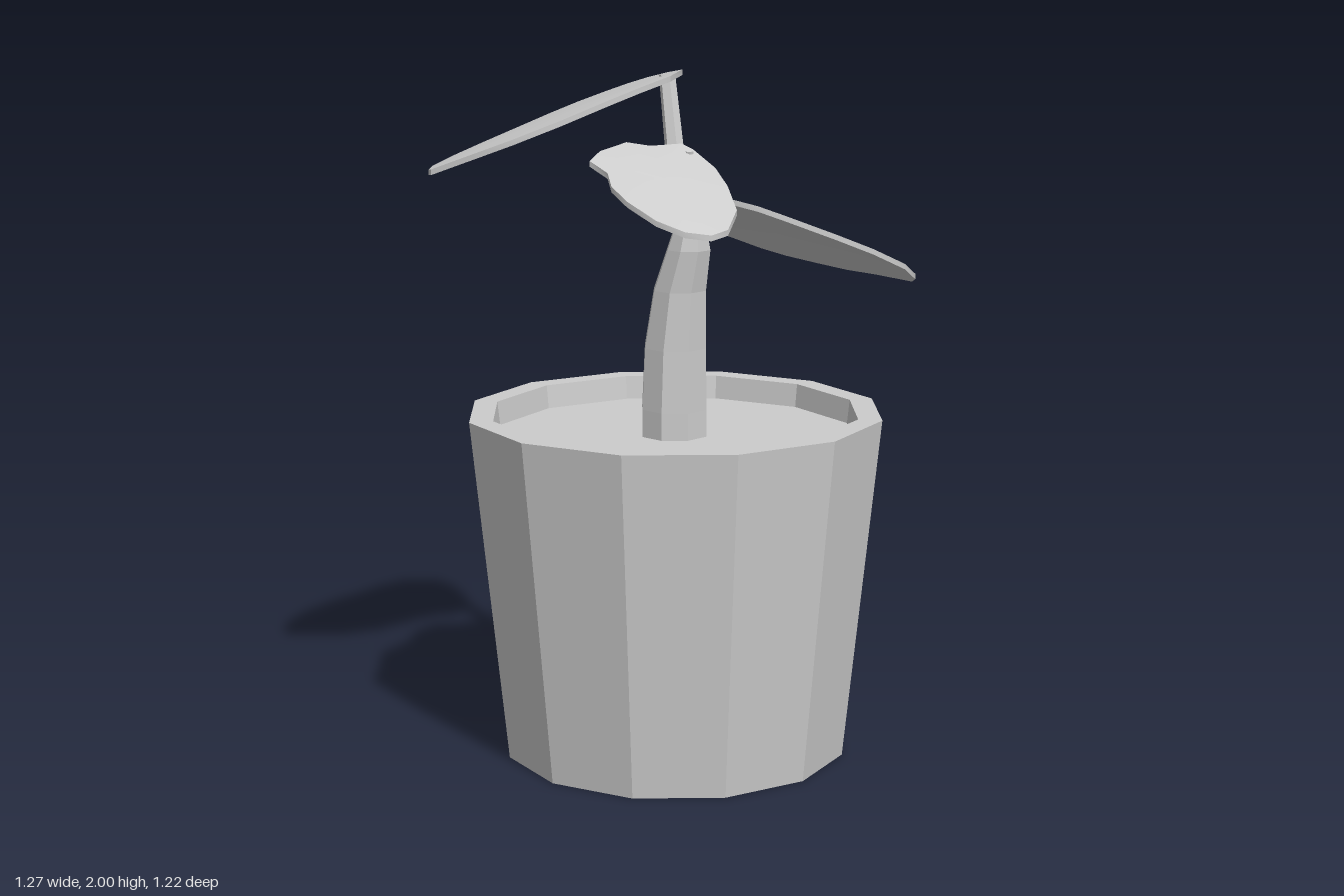
import * as THREE from 'three';
import { toCreasedNormals } from 'three/addons/utils/BufferGeometryUtils.js';

const flat = new THREE.MeshStandardMaterial({ color: 0xcccccc, flatShading: true });
const smooth = new THREE.MeshStandardMaterial({ color: 0xcccccc });

function indexed(positions, index) {
  const g = new THREE.BufferGeometry();
  g.setAttribute('position', new THREE.Float32BufferAttribute(positions, 3));
  g.setIndex(index);
  g.computeVertexNormals();
  return g;
}

// Tapered limb through horizontal rings [x, y, z, radius]
function limb(rings, sides) {
  const pos = [], idx = [];
  rings.forEach(([x, y, z, r], k) => {
    for (let i = 0; i < sides; i++) {
      const a = (i + 0.5) / sides * Math.PI * 2;
      pos.push(x + r * Math.sin(a), y, z + r * Math.cos(a));
      if (k === 0) continue;
      const j = (i + 1) % sides, lo = (k - 1) * sides, hi = k * sides;
      idx.push(lo + i, lo + j, hi + j, lo + i, hi + j, hi + i);
    }
  });
  return indexed(pos, idx);
}

// Thin leaf: outline of [x, z], height(x, z) gives its tilt, bow arches the middle
function leaf(outline, height, bow, thick = 0.016) {
  const area = THREE.ShapeUtils.area(outline.map(([x, z]) => new THREE.Vector2(x, -z)));
  const pts = area > 0 ? outline : [...outline].reverse();
  const n = pts.length, levels = [0.35, 0.7, 1];
  const cx = pts.reduce((s, p) => s + p[0], 0) / n;
  const cz = pts.reduce((s, p) => s + p[1], 0) / n;
  const pos = [], idx = [];
  const layer = 1 + n * levels.length;
  for (const side of [0.5, -0.5]) {
    const put = (x, z, t) =>
      pos.push(x, height(x, z) + bow * (1 - t * t) + side * thick, z);
    put(cx, cz, 0);
    for (const t of levels) for (const [x, z] of pts) put(cx + (x - cx) * t, cz + (z - cz) * t, t);
  }
  const both = (a, b, c) => idx.push(a, b, c, layer + a, layer + c, layer + b);
  for (let i = 0; i < n; i++) {
    const j = (i + 1) % n;
    both(0, 1 + i, 1 + j);
    for (let k = 0; k < levels.length - 1; k++) {
      const a = 1 + k * n, b = a + n;
      both(a + i, b + i, b + j);
      both(a + i, b + j, a + j);
    }
    // rim between the upper and lower faces
    const e = 1 + (levels.length - 1) * n;
    idx.push(e + i, layer + e + i, layer + e + j, e + i, layer + e + j, e + j);
  }
  return toCreasedNormals(indexed(pos, idx), 0.7);
}

export function createModel() {
  const group = new THREE.Group();
  const add = (name, geometry, material) => {
    const mesh = new THREE.Mesh(geometry, material);
    mesh.name = name;
    group.add(mesh);
    return mesh;
  };

  // Twelve-sided tapered pot with a raised rim
  const profile = [[0, 0], [0.505, 0], [0.61, 1.01], [0.54, 1.01], [0.53, 0.92]];
  add('pot', new THREE.LatheGeometry(profile.map(p => new THREE.Vector2(...p)), 12), flat)
    .position.x = -0.03;

  // Soil
  add('soil', new THREE.CircleGeometry(0.533, 12).rotateX(-Math.PI / 2), flat)
    .position.set(-0.03, 0.94, 0);

  // Stem, bending forward
  add('stem', limb([
    [-0.033, 0.93, 0, 0.1], [-0.033, 1.02, 0, 0.1], [-0.033, 1.2, 0.005, 0.095],
    [-0.035, 1.37, 0.025, 0.08], [-0.035, 1.49, 0.06, 0.066],
    [-0.04, 1.58, 0.075, 0.042], [-0.045, 1.63, 0.08, 0.01],
  ], 8), flat);

  // Leaf stalks
  add('topLeafStalk', limb([
    [-0.045, 1.52, 0.07, 0.035], [-0.05, 1.65, 0.035, 0.03], [-0.025, 1.98, -0.035, 0.024],
  ], 6), flat);
  add('smallLeafStalk', limb([
    [-0.05, 1.55, 0.075, 0.03], [-0.065, 1.68, 0.085, 0.017], [-0.075, 1.775, 0.1, 0.012],
  ], 6), flat);
  add('sideLeafStalk', limb([
    [-0.03, 1.54, 0.075, 0.03], [-0.01, 1.6, 0.08, 0.018], [0.015, 1.64, 0.075, 0.012],
  ], 6), flat);

  // Leaves
  add('topLeaf', leaf([
    [-0.11, 0.06], [-0.02, 0.02], [0.055, -0.11], [0.11, -0.24], [0.125, -0.34], [0.105, -0.41],
    [0.055, -0.485], [-0.025, -0.515], [-0.285, -0.535], [-0.39, -0.53], [-0.515, -0.49],
    [-0.6, -0.41], [-0.617, -0.38], [-0.565, -0.27], [-0.51, -0.16], [-0.405, -0.08],
    [-0.25, -0.04], [-0.165, 0],
  ], (x, z) => 1.988 + 0.25 * x + 0.29 * z, 0.008), smooth);

  add('smallLeaf', leaf([
    [-0.05, 0.09], [-0.058, 0.184], [-0.09, 0.26], [-0.15, 0.35], [-0.24, 0.4], [-0.3, 0.395],
    [-0.355, 0.35], [-0.39, 0.275], [-0.4, 0.175], [-0.39, 0.105], [-0.355, 0.055],
    [-0.36, -0.01], [-0.3, -0.03], [-0.2, -0.025], [-0.15, 0.02], [-0.06, 0.055],
  ], (x, z) => 1.822 + 0.2 * x - 0.46 * z, 0.012), smooth);

  add('sideLeaf', leaf([
    [0, 0.055], [0.04, -0.065], [0.105, -0.167], [0.18, -0.255], [0.25, -0.293], [0.335, -0.297],
    [0.39, -0.174], [0.48, -0.123], [0.53, -0.065], [0.57, 0.03], [0.6, 0.115], [0.61, 0.225],
    [0.635, 0.34], [0.6, 0.38], [0.5, 0.42], [0.38, 0.4], [0.275, 0.35], [0.14, 0.27],
    [0.075, 0.225], [0.02, 0.13],
  ], (x) => 1.643 - 0.45 * x, 0.008), smooth);

  return group;
}
